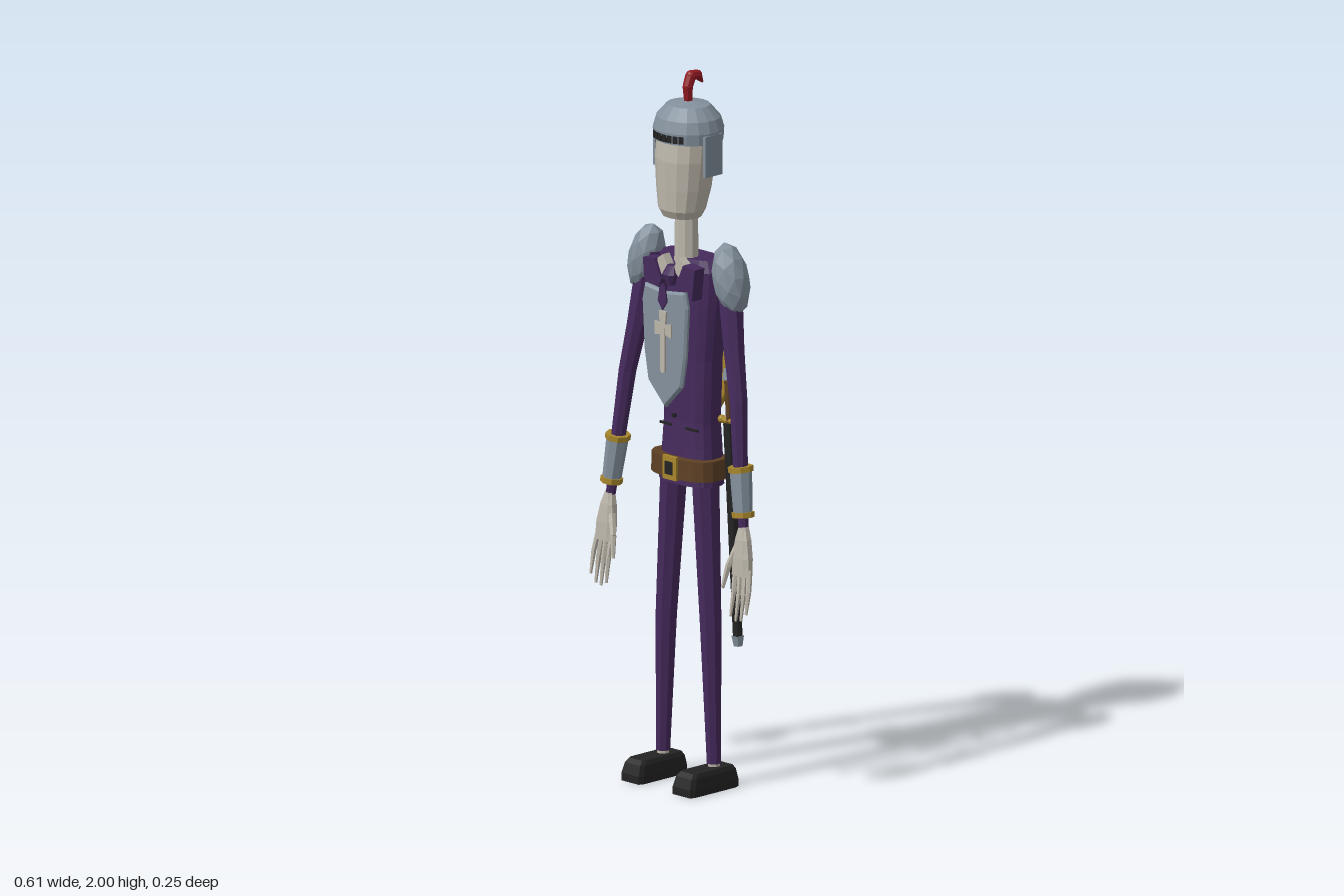
import * as THREE from 'three';

const mat = (name, color) => {
  const m = new THREE.MeshStandardMaterial({ color });
  m.name = name;
  return m;
};

export function createModel() {
  const purple = mat('purple cloth', 0x452a5c), steel = mat('steel', 0x84919d), bone = mat('bone', 0xbdb7ab);
  const gold = mat('gold', 0xa8862c), black = mat('black leather', 0x232324), brown = mat('brown leather', 0x5e4024);
  const red = mat('red plume', 0x931a22), navy = mat('navy', 0x2b415c);
  const root = new THREE.Group();

  // Adds a faceted mesh
  const add = (name, geo, material, parent = root) => {
    const g = geo.index ? geo.toNonIndexed() : geo;
    g.computeVertexNormals();
    const mesh = new THREE.Mesh(g, material);
    mesh.name = name;
    parent.add(mesh);
    return mesh;
  };

  // Closed loft through horizontal rings [y, cx, cz, rx, rz]; power below 1 squares the ring
  const loft = (rings, n = 8, power = 1) => {
    const pos = [], idx = [];
    const sq = (v) => Math.sign(v) * Math.abs(v) ** power;
    for (const [y, cx, cz, rx, rz] of rings)
      for (let j = 0; j < n; j++) {
        const a = ((j + 0.5) / n) * Math.PI * 2;
        pos.push(cx + rx * sq(Math.cos(a)), y, cz + rz * sq(Math.sin(a)));
      }
    const last = rings.length - 1, base = pos.length / 3;
    for (const i of [0, last]) pos.push(rings[i][1], rings[i][0], rings[i][2]);
    for (let j = 0; j < n; j++) {
      const k = (j + 1) % n;
      for (let i = 0; i < last; i++) {
        const a = i * n + j, b = i * n + k;
        idx.push(a, a + n, b, b, a + n, b + n);
      }
      idx.push(base, j, k, base + 1, last * n + k, last * n + j);
    }
    const g = new THREE.BufferGeometry();
    g.setAttribute('position', new THREE.Float32BufferAttribute(pos, 3));
    g.setIndex(idx);
    return g;
  };

  // Tapered rod from a to b
  const rod = (a, b, ra, rb, n = 8) => {
    const A = new THREE.Vector3(...a), d = new THREE.Vector3(...b).sub(A);
    const g = new THREE.CylinderGeometry(rb, ra, d.length(), n);
    g.translate(0, d.length() / 2, 0);
    g.applyQuaternion(new THREE.Quaternion().setFromUnitVectors(new THREE.Vector3(0, 1, 0), d.normalize()));
    return g.translate(...a);
  };
  const box = (w, h, d, x, y, z) => new THREE.BoxGeometry(w, h, d).translate(x, y, z);

  // Extruded outline starting at depth z; the half outline is mirrored when asked
  const plate = (pts, z, depth, bevel = 0, mirror = true) => {
    const all = mirror ? [...pts, ...pts.filter((p) => p[0] > 0).reverse().map(([x, y]) => [-x, y])] : pts;
    const shape = new THREE.Shape(all.map(([x, y]) => new THREE.Vector2(x, y)));
    return new THREE.ExtrudeGeometry(shape, {
      depth, bevelEnabled: bevel > 0, bevelSize: bevel, bevelThickness: bevel, bevelOffset: -bevel, bevelSegments: 1,
    }).translate(0, 0, z);
  };

  // Torso, neck and head
  add('jacket', loft([
    [0.845, 0, -0.015, 0.1, 0.06], [0.95, 0, -0.018, 0.092, 0.055], [1.02, 0, -0.018, 0.087, 0.052],
    [1.2, 0, -0.018, 0.094, 0.054], [1.36, 0, -0.018, 0.112, 0.058], [1.45, 0, -0.018, 0.118, 0.056],
    [1.482, 0, -0.018, 0.1, 0.045]], 16, 0.75), purple);
  add('neck', loft([[1.46, 0, 0.005, 0.036, 0.032], [1.63, 0, 0.005, 0.033, 0.03]], 10), bone);
  add('head', loft([
    [1.598, 0, 0.022, 0.055, 0.048], [1.62, 0, 0.022, 0.066, 0.06], [1.68, 0, 0.015, 0.076, 0.07],
    [1.76, 0, 0.01, 0.083, 0.077], [1.82, 0, 0.004, 0.082, 0.077], [1.86, 0, 0, 0.068, 0.065]], 14, 0.9), bone);

  // Belt and buckle
  add('belt', loft([[0.866, 0, -0.005, 0.116, 0.07], [0.922, 0, -0.005, 0.114, 0.069]], 16, 0.75), brown);
  add('buckle', box(0.052, 0.066, 0.01, 0, 0.895, 0.066), gold);
  add('buckleCentre', box(0.028, 0.036, 0.004, 0, 0.895, 0.072), black);

  // Collar, tie, lapels, buttons and pockets
  add('tieKnot', loft([[1.41, 0, 0.065, 0.014, 0.012], [1.44, 0, 0.068, 0.024, 0.018], [1.465, 0, 0.06, 0.014, 0.012]], 8), purple);
  add('tie', plate([[0, 1.42], [0.01, 1.41], [0.017, 1.37], [0, 1.345]], 0.093, 0.005), purple);
  for (const s of [-1, 1]) {
    const fold = (pts) => (s > 0 ? pts : pts.map(([x, y]) => [-x, y]).reverse());
    add('collar', plate(fold([[0.008, 1.455], [0.045, 1.425], [0.052, 1.475], [0.03, 1.49]]), 0.04, 0.025, 0, false), bone);
    add('lapel', plate(fold([[0.045, 1.38], [0.09, 1.38], [0.1, 1.47], [0.055, 1.475], [0.03, 1.42]]), 0.035, 0.038, 0, false), purple);
    add('pocket', box(0.045, 0.006, 0.006, s * 0.05, 1.005, 0.034), black);
  }
  for (let i = 0; i < 4; i++) add('button', box(0.01, 0.01, 0.008, 0, 1.04 + i * 0.055, 0.052), black);

  // Breastplate with cross
  add('breastplate', plate([[0, 1.395], [0.078, 1.405], [0.088, 1.36], [0.08, 1.22], [0.065, 1.135], [0, 1.068]], 0.078, 0.007, 0.006), steel);
  const cross = (name, y, z, h, w) => {
    add(name, plate([[0, y + h * 0.3], [0.014, y + h * 0.3], [0.009, y], [0.008, y - h * 0.7], [0, y - h * 0.73]], z, 0.006), bone);
    add(name + 'Bar', plate([[0, y + 0.012], [w, y + 0.02], [w, y - 0.02], [0, y - 0.012]], z, 0.005), bone);
  };
  cross('chestCross', 1.29, 0.091, 0.17, 0.032);

  // Shield carried on the back
  const outline = (k) => [[0, 0.215], [0.078, 0.21], [0.09, 0.16], [0.086, 0], [0.055, -0.13], [0, -0.21]]
    .map(([x, y]) => [x * k, 1.22 + y * (1 - (1 - k) * 0.45)]);
  add('shieldRim', plate(outline(1), -0.112, 0.011, 0.004), gold);
  add('shieldFace', plate(outline(0.8), -0.121, 0.01), navy);
  cross('shieldCross', 1.31, -0.125, 0.23, 0.045);

  // Helmet, cheek guards, eye slits and plume
  const profile = [[0, 1.89], [0.08, 1.868], [0.092, 1.812], [0.1, 1.812], [0.102, 1.843], [0.092, 1.875], [0.062, 1.908], [0, 1.918]];
  add('helmet', new THREE.LatheGeometry(profile.map((p) => new THREE.Vector2(...p)), 18)
    .scale(1, 1, 0.92).translate(0, 0, -0.003), steel);
  for (const s of [-1, 1]) add('cheekGuard', box(0.009, 0.115, 0.066, s * 0.097, 1.78, 0), steel);
  for (let i = -3; i <= 3; i++) {
    const a = i * 0.18;
    add('eyeSlit', new THREE.BoxGeometry(0.014, 0.02, 0.006).rotateY(a)
      .translate(Math.sin(a) * 0.1, 1.827, Math.cos(a) * 0.092 - 0.003), black);
  }
  const plume = [[0, 1.91, -0.002], [0, 1.955, 0], [0, 1.984, -0.012], [0, 1.982, -0.036], [0, 1.958, -0.056]];
  const plumeR = [0.011, 0.014, 0.015, 0.014, 0.003];
  for (let i = 0; i < 4; i++) {
    add('plume', rod(plume[i], plume[i + 1], plumeR[i], plumeR[i + 1], 8), red);
    if (i) add('plumeBend', new THREE.IcosahedronGeometry(plumeR[i], 1).translate(...plume[i]), red);
  }

  // Legs, shoes, arms and hands, mirrored
  for (const s of [-1, 1]) {
    const side = new THREE.Group();
    side.name = s > 0 ? 'leftLimbs' : 'rightLimbs';
    root.add(side);
    const limb = (name, rings, material, n, power) =>
      add(name, loft(rings.map(([y, x, ...r]) => [y, s * x, ...r]), n, power), material, side);
    const part = (name, a, b, ra, rb, material, n = 6) =>
      add(name, rod([s * a[0], a[1], a[2]], [s * b[0], b[1], b[2]], ra, rb, n), material, side);

    limb('leg', [[0.07, 0.098, -0.003, 0.02, 0.021], [0.45, 0.086, -0.003, 0.03, 0.032], [0.88, 0.06, -0.008, 0.037, 0.042]], purple);
    limb('ankle', [[0.05, 0.098, -0.003, 0.017, 0.018], [0.075, 0.098, -0.003, 0.017, 0.018]], bone);
    limb('shoe', [[0, 0.099, 0.03, 0.04, 0.094], [0.022, 0.099, 0.03, 0.04, 0.094],
      [0.05, 0.099, 0.028, 0.036, 0.086], [0.062, 0.099, 0.026, 0.03, 0.076]], black, 8, 0.2);

    limb('sleeve', [[0.765, 0.257, 0.04, 0.014, 0.015], [0.93, 0.236, 0.032, 0.021, 0.022], [1.12, 0.214, 0.018, 0.026, 0.026],
      [1.25, 0.187, 0.008, 0.031, 0.03], [1.38, 0.165, -0.002, 0.036, 0.034], [1.47, 0.13, -0.006, 0.035, 0.034]], purple);
    const pauldron = add('pauldron', new THREE.IcosahedronGeometry(1, 1).scale(0.051, 0.102, 0.052), steel, side);
    pauldron.position.set(s * 0.163, 1.444, -0.004);
    pauldron.rotation.z = s * 0.26;

    part('bracer', [0.254, 0.805, 0.04], [0.237, 0.935, 0.032], 0.026, 0.031, steel, 8);
    part('bracerBand', [0.255, 0.8, 0.04], [0.253, 0.815, 0.039], 0.031, 0.031, gold, 8);
    part('bracerBand', [0.238, 0.924, 0.032], [0.236, 0.939, 0.032], 0.035, 0.035, gold, 8);

    limb('palm', [[0.64, 0.264, 0.054, 0.034, 0.014], [0.69, 0.262, 0.05, 0.033, 0.017],
      [0.74, 0.26, 0.045, 0.024, 0.017], [0.775, 0.258, 0.041, 0.013, 0.013]], bone, 8, 0.7);
    for (let i = 0; i < 4; i++) {
      const x = 0.24 + i * 0.017, z = 0.056, drop = [0.01, 0, 0.004, 0.025][i];
      const mid = [x + 0.002 + i * 0.002, 0.59 + drop * 0.5, z + 0.007];
      part('finger', [x, 0.66, z - 0.004], mid, 0.0085, 0.0075, bone);
      part('fingertip', mid, [x + i * 0.003, 0.515 + drop, z + 0.018], 0.0075, 0.004, bone);
    }
    part('thumb', [0.242, 0.715, 0.05], [0.222, 0.66, 0.065], 0.011, 0.009, bone);
    part('thumbTip', [0.222, 0.66, 0.065], [0.211, 0.6, 0.076], 0.009, 0.005, bone);
  }

  // Sheathed sword at the left hip
  const sword = new THREE.Group();
  sword.name = 'sword';
  root.add(sword);
  const along = (y) => [0.172 - (y - 0.415) * 0.054, y, -0.022];
  const piece = (name, y0, y1, r0, r1, m) => add(name, rod(along(y0), along(y1), r0, r1, 8), m, sword);
  piece('scabbard', 0.43, 1.03, 0.013, 0.017, black);
  piece('scabbardTip', 0.41, 0.438, 0.012, 0.017, steel);
  piece('grip', 1.03, 1.16, 0.009, 0.01, brown);
  piece('pommel', 1.152, 1.182, 0.015, 0.01, steel);
  add('guard', rod([0.107, 1.035, -0.022], [0.169, 1.039, -0.022], 0.009, 0.009, 8), gold, sword);
  for (const x of [0.11, 0.166]) add('guardEnd', new THREE.IcosahedronGeometry(0.012, 1).translate(x, 1.037, -0.022), gold, sword);

  return root;
}
